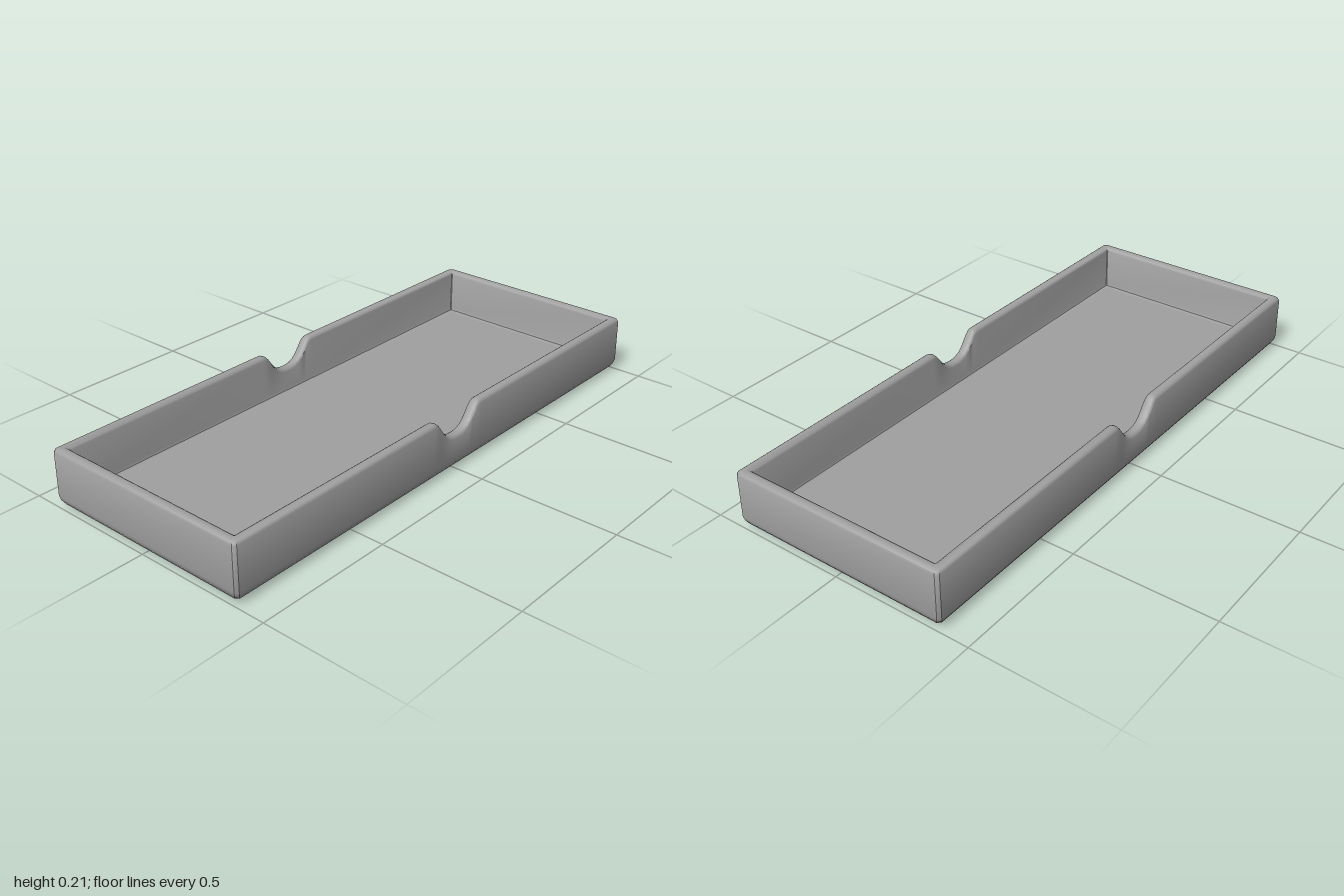
import * as THREE from 'three';
import { toCreasedNormals } from 'three/addons/utils/BufferGeometryUtils.js';

const HALF_X = 0.4, HALF_Z = 1, HEIGHT = 0.211;

// Wall section, from the underside, over the rim, down to the floor.
// [inset from the outside, y, measured down from the rim?]
const SECTION = [
  [0.045, 0], [0.028, 0.005], [0.013, 0.014], [0.004, 0.028], [0, 0.045],
  [0.001, 0.013, true], [0.004, 0.006, true], [0.01, 0.0015, true], [0.016, 0, true],
  [0.024, 0, true], [0.03, 0.0015, true], [0.036, 0.006, true], [0.039, 0.013, true],
  [0.039, 0.054], [0.042, 0.046], [0.05, 0.042], [0.055, 0.042],
];

// Half of the finger notch: distance from its middle and rim height
const NOTCH = [
  [0.125, 0.211], [0.115, 0.21], [0.105, 0.205], [0.095, 0.195], [0.08, 0.174],
  [0.065, 0.155], [0.05, 0.142], [0.035, 0.135], [0.018, 0.131], [0, 0.13],
];

// Stations around the outline, seen going right from outside
function makeStations() {
  const list = [];
  for (const side of [1, -1]) {
    list.push({ sx: side, sz: side, cut: 'z' });
    for (const [z, top] of NOTCH) list.push({ sx: side, z: z * side, top });
    for (const [z, top] of NOTCH.slice(0, -1).reverse()) list.push({ sx: side, z: -z * side, top });
    list.push({ sx: side, sz: -side, cut: 'z' });
    list.push({ sx: side, sz: -side, cut: 'x' });
    list.push({ sx: -side, sz: -side, cut: 'x' });
  }
  return list;
}

function trayGeometry() {
  const stations = makeStations();
  const n = stations.length, m = SECTION.length;
  const points = [], index = [];
  for (const [inset, h, fromRim] of SECTION) {
    const bevel = inset < 0.03 ? 0.01 : 0.002; // small corner bevel
    for (const s of stations) {
      const x = s.sx * (HALF_X - inset - (s.cut === 'x' ? bevel : 0));
      const z = s.z ?? s.sz * (HALF_Z - inset - (s.cut === 'z' ? bevel : 0));
      points.push(x, fromRim ? (s.top ?? HEIGHT) - h : h, z);
    }
  }
  points.push(0, 0, 0, 0, SECTION[m - 1][1], 0);
  const under = m * n, floor = under + 1;
  for (let j = 0; j < n; j++) {
    const k = (j + 1) % n;
    for (let i = 0; i < m - 1; i++) {
      const a = i * n + j, b = i * n + k;
      index.push(a, b, b + n, a, b + n, a + n);
    }
    // Underside and floor
    index.push(under, k, j, (m - 1) * n + j, (m - 1) * n + k, floor);
  }
  const geometry = new THREE.BufferGeometry();
  geometry.setAttribute('position', new THREE.Float32BufferAttribute(points, 3));
  geometry.setIndex(index);
  // Enlarged while creasing so that close rim points stay apart
  geometry.scale(100, 100, 100);
  return toCreasedNormals(geometry, 0.6).scale(0.01, 0.01, 0.01);
}

export function createModel() {
  const grey = new THREE.MeshStandardMaterial({ color: 0xa0a0a0 });
  grey.name = 'grey';
  const tray = new THREE.Mesh(trayGeometry(), grey);
  tray.name = 'tray';
  const group = new THREE.Group();
  group.name = 'notchedTray';
  group.add(tray);
  return group;
}
